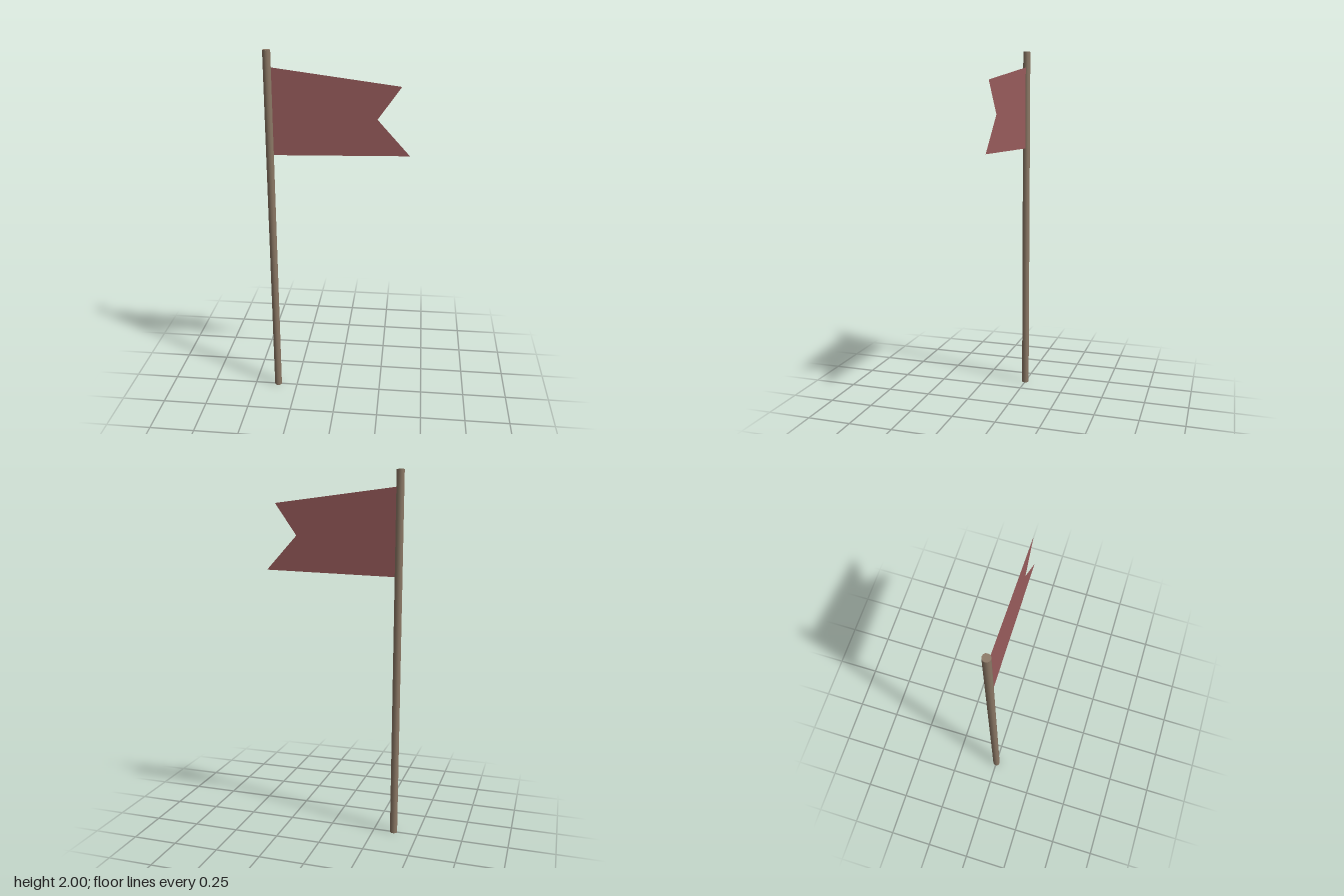
import * as THREE from 'three';

const POLE_X = -0.364;

export function createModel() {
  const model = new THREE.Group();

  // Straight pole, capped at both ends
  const pole = new THREE.Mesh(
    new THREE.CylinderGeometry(0.021, 0.021, 2, 12),
    new THREE.MeshStandardMaterial({ color: 0x8b7865 })
  );
  pole.name = 'pole';
  pole.position.set(POLE_X, 1, 0);
  model.add(pole);

  // Thin swallow-tailed pennant, its hoist edge tucked into the pole
  const outline = [
    [-0.355, 1.448], [0.38, 1.465], [0.206, 1.655], [0.327, 1.827], [-0.355, 1.913],
  ].map(([x, y]) => new THREE.Vector2(x, y));
  const flag = new THREE.Mesh(
    new THREE.ShapeGeometry(new THREE.Shape(outline)),
    new THREE.MeshStandardMaterial({ color: 0x995c5c, side: THREE.DoubleSide })
  );
  flag.name = 'flag';
  model.add(flag);

  return model;
}
